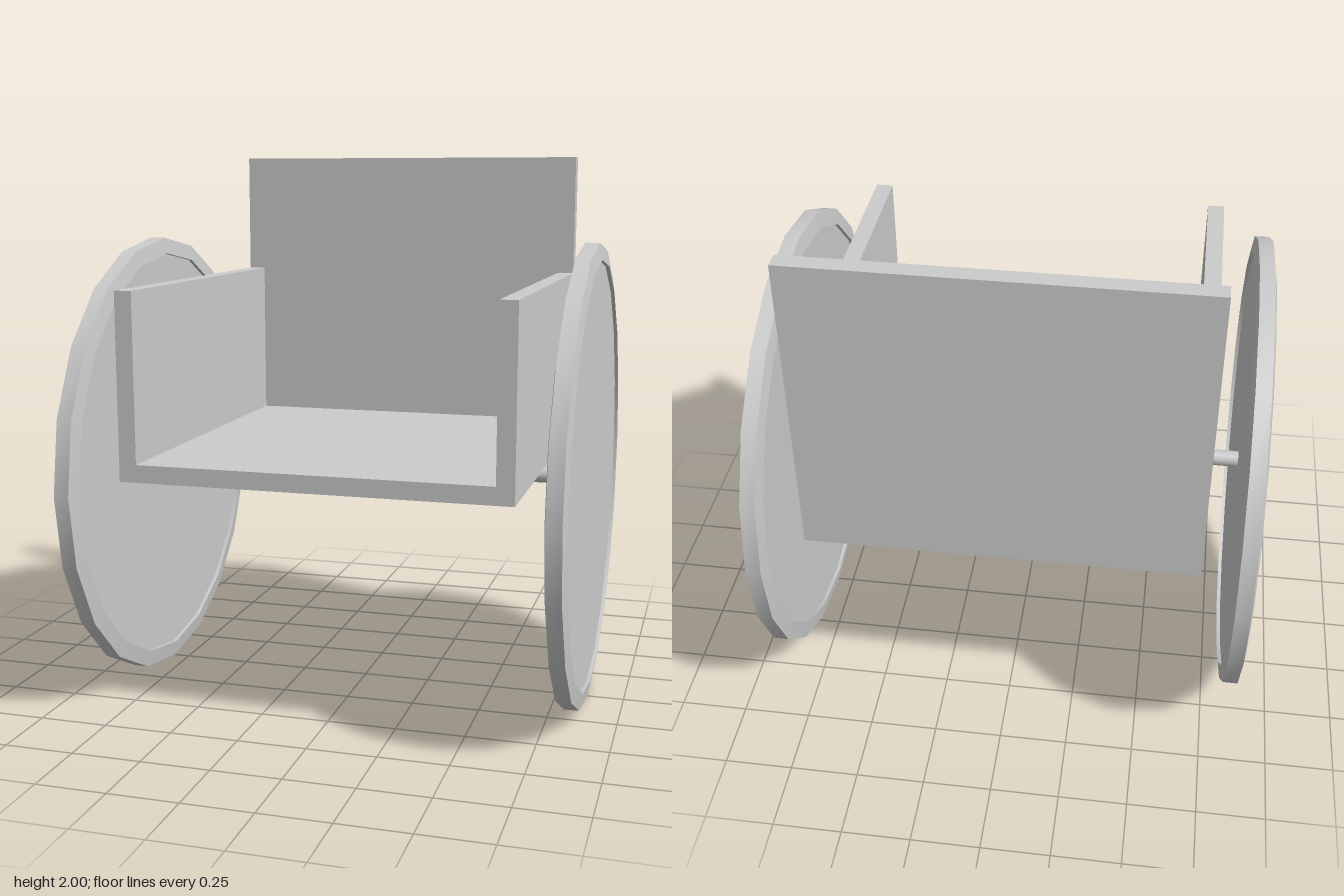
import * as THREE from 'three';
import { toCreasedNormals } from 'three/addons/utils/BufferGeometryUtils.js';

const material = new THREE.MeshStandardMaterial({ color: 0xcccccc });

function addPart(parent, name, geometry, x, y, z) {
  const mesh = new THREE.Mesh(geometry, material);
  mesh.name = name;
  mesh.position.set(x, y, z);
  parent.add(mesh);
  return mesh;
}

// Box given by its lower and upper corners
function addPanel(parent, name, [x0, y0, z0], [x1, y1, z1]) {
  const geometry = new THREE.BoxGeometry(x1 - x0, y1 - y0, z1 - z0);
  return addPart(parent, name, geometry, (x0 + x1) / 2, (y0 + y1) / 2, (z0 + z1) / 2);
}

// Solid disc held in a slightly proud rim with sloping sides
function createWheel(name) {
  const wheel = new THREE.Group();
  wheel.name = name;
  const section = [
    [0.785, -0.037], [0.845, -0.027], [0.845, 0.027], [0.785, 0.037], [0.785, -0.037],
  ].map(([r, h]) => new THREE.Vector2(r, h));
  const rim = toCreasedNormals(new THREE.LatheGeometry(section, 20), 0.4);
  addPart(wheel, 'rim', rim, 0, 0, 0);
  addPart(wheel, 'disc', new THREE.CylinderGeometry(0.787, 0.787, 0.046, 20), 0, 0, 0);
  wheel.rotation.z = Math.PI / 2;
  return wheel;
}

export function createModel() {
  const model = new THREE.Group();
  model.name = 'cart';

  const half = 0.692, thick = 0.063, bottom = 0.877;
  const floorTop = bottom + thick, backFront = -half + thick;

  // Open-fronted body
  const body = new THREE.Group();
  body.name = 'body';
  model.add(body);
  addPanel(body, 'floor', [-half + thick, bottom, backFront], [half - thick, floorTop, half]);
  addPanel(body, 'backPanel', [-half, bottom, -half], [half, 2, backFront]);
  addPanel(body, 'leftSide', [half - thick, bottom, backFront], [half, 1.54, half]);
  addPanel(body, 'rightSide', [-half, bottom, backFront], [-half + thick, 1.54, half]);

  // Axle
  const axle = addPart(model, 'axle', new THREE.CylinderGeometry(0.03, 0.03, 1.64, 20), 0, 0.84, 0);
  axle.rotation.z = Math.PI / 2;

  // Wheels
  for (const [name, side] of [['leftWheel', 1], ['rightWheel', -1]]) {
    const wheel = createWheel(name);
    wheel.position.set(side * 0.838, 0.845, 0);
    model.add(wheel);
  }
  return model;
}
